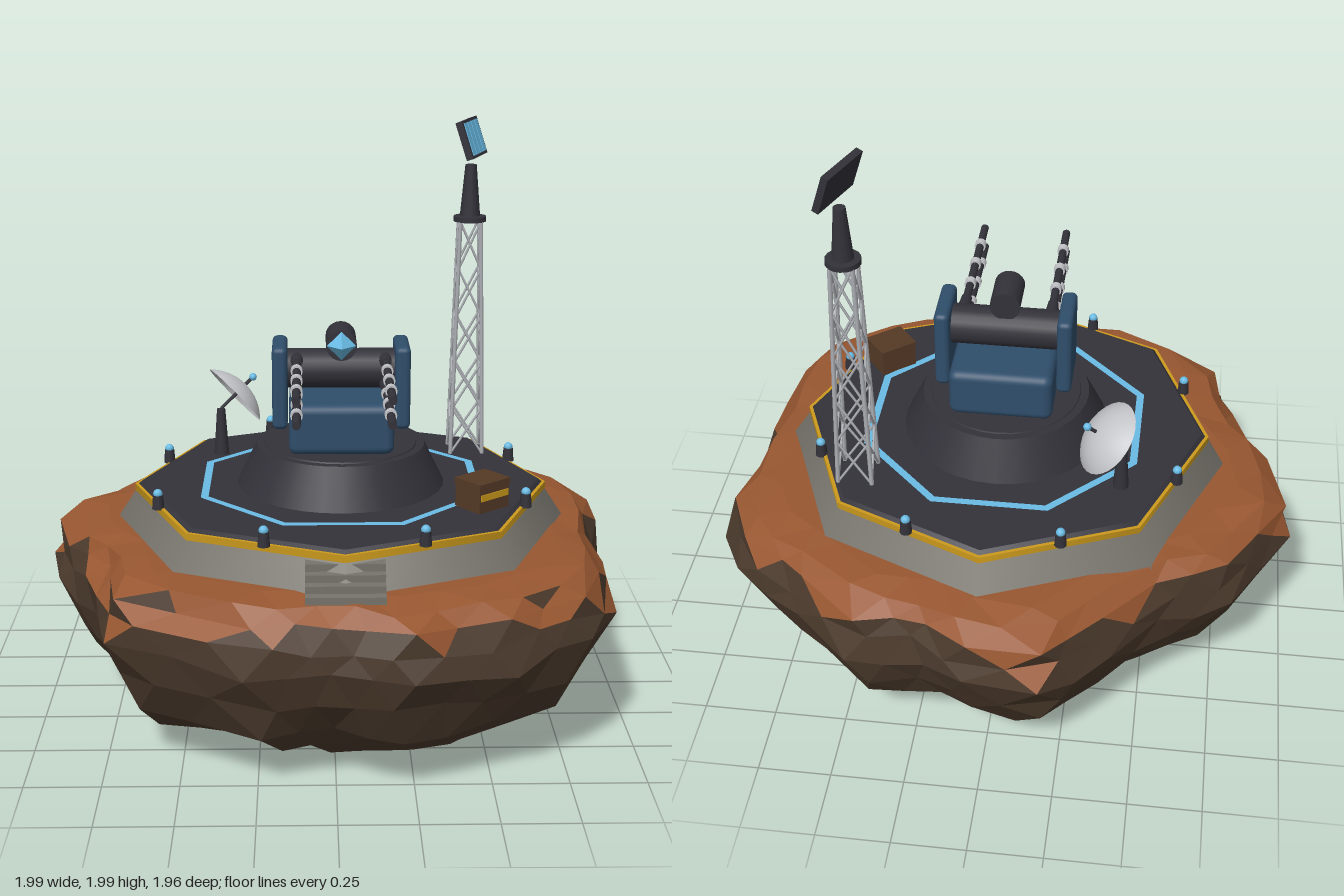
import * as THREE from 'three';
import { RoundedBoxGeometry } from 'three/addons/geometries/RoundedBoxGeometry.js';

const CX = 0.028, CZ = 0.012; // centre of the platform

function mat(name, color, opts = {}) {
  const m = new THREE.MeshStandardMaterial({ color, ...opts });
  m.name = name;
  return m;
}

const M = {
  rock: mat('brownRock', 0x4b3a2c, { flatShading: true }),
  rust: mat('rustSoil', 0x985731, { flatShading: true }),
  concrete: mat('concrete', 0x77746c),
  dark: mat('darkMetal', 0x33323a),
  yellow: mat('hazardYellow', 0xcc9a1c),
  armor: mat('blueArmor', 0x2f4e6b),
  glow: mat('lightBlue', 0x69bbe4),
  white: mat('paleMetal', 0xc4c5c9, { side: THREE.DoubleSide }),
  crate: mat('crateBrown', 0x553a26),
  steel: mat('steel', 0xadb0b5),
};

function add(parent, name, geometry, material, x = 0, y = 0, z = 0) {
  const mesh = new THREE.Mesh(geometry, material);
  mesh.name = name;
  mesh.position.set(x, y, z);
  parent.add(mesh);
  return mesh;
}

function group(parent, name, x = 0, y = 0, z = 0) {
  const g = new THREE.Group();
  g.name = name;
  g.position.set(x, y, z);
  parent.add(g);
  return g;
}

const cyl = (top, bottom, h, n = 20) => new THREE.CylinderGeometry(top, bottom, h, n);
const box = (w, h, d) => new THREE.BoxGeometry(w, h, d);

// Round bar between two points
function bar(parent, name, a, b, r, material) {
  const d = b.clone().sub(a);
  const mesh = add(parent, name, cyl(r, r, d.length(), 6), material);
  mesh.position.copy(a).add(b).multiplyScalar(0.5);
  mesh.quaternion.setFromUnitVectors(new THREE.Vector3(0, 1, 0), d.normalize());
}

// Faceted boulder: a plan outline scaled through a vertical profile
function buildRock() {
  const corners = [[-1, -.13], [-.8, -.47], [-.56, -.59], [-.41, -.765], [-.195, -.985], [.055, -.955],
    [.19, -.88], [.457, -.87], [.645, -.72], [.895, -.535], [.99, -.35], [.94, .08], [.93, .455],
    [.815, .67], [.56, .855], [.235, .97], [-.02, .9], [-.29, .9], [-.735, .67], [-.8, .35], [-.95, .12]];
  // Split the long edges so that the facets are of similar size
  const outline = corners.flatMap(([x, z], i) => {
    const [x2, z2] = corners[(i + 1) % corners.length];
    const mid = [(x + x2) / 2, (z + z2) / 2];
    return Math.hypot(x2 - x, z2 - z) > .26 ? [[x, z], mid] : [[x, z]];
  });
  const profile = [[0, 0], [0, .43], [.04, .62], [.11, .77], [.2, .87], [.32, .95], [.45, 1],
    [.53, .985], [.595, .955], [.643, .905], [.658, .8], [.658, 0]];
  let seed = 11;
  const rnd = () => ((seed = (seed * 16807) % 2147483647) / 2147483647) - 0.5;
  const n = outline.length;
  const rings = profile.map(([y, s], j) => outline.map(([x, z], i) => {
    const wild = j > 1 && j < 10 && j !== 6 ? 1 : 0;
    const [x2, z2] = outline[(i + 1) % n];
    const t = wild * (0.3 * rnd() + (j % 2 ? 0.4 : 0)); // stagger the rows
    const k = s * (1 + wild * 0.04 * rnd());
    const dy = (j === 6 ? 0.07 : wild * (j > 7 ? 0.02 : 0.05)) * rnd();
    return new THREE.Vector3((x + (x2 - x) * t) * k, y + dy, (z + (z2 - z) * t) * k);
  }));
  const low = [], high = [];
  const tri = (a, b, c) => {
    const area = b.clone().sub(a).cross(c.clone().sub(a));
    if (area.length() < 1e-7) return;
    const mid = a.clone().add(b).add(c).divideScalar(3);
    // Ragged lower border of the rust-coloured soil
    const limit = 0.594 + 0.036 * Math.sin(9 * Math.atan2(mid.z, mid.x));
    const list = mid.y > limit || (mid.y > 0.5 && area.normalize().y > 0.55) ? high : low;
    for (const p of [a, b, c]) list.push(p.x, p.y, p.z);
  };
  for (let j = 0; j < rings.length - 1; j++) for (let i = 0; i < n; i++) {
    const k = (i + 1) % n, [a, b, c, d] = [rings[j][i], rings[j + 1][i], rings[j + 1][k], rings[j][k]];
    if (j % 2) { tri(a, b, c); tri(a, c, d); } else { tri(a, b, d); tri(b, c, d); }
  }
  const g = new THREE.BufferGeometry();
  g.setAttribute('position', new THREE.Float32BufferAttribute([...low, ...high], 3));
  g.addGroup(0, low.length / 3, 0);
  g.addGroup(low.length / 3, high.length / 3, 1);
  g.computeVertexNormals();
  return g;
}

function buildPlatform(root) {
  const p = group(root, 'platform', CX, 0, CZ);
  add(p, 'concreteBase', cyl(.71, .785, .115, 8), M.concrete, 0, .6975);
  add(p, 'yellowTrim', cyl(.715, .715, .024, 8), M.yellow, 0, .762);
  add(p, 'deck', cyl(.69, .706, .014, 8), M.dark, 0, .778);
  const ring = add(p, 'blueDeckRing', new THREE.RingGeometry(.487, .515, 8, 1, Math.PI / 8), M.glow, 0, .788);
  ring.rotation.x = -Math.PI / 2;
  // Marker lamps midway along each edge
  for (let i = 0; i < 8; i++) {
    const a = (i + .5) * Math.PI / 4;
    const lamp = group(p, 'markerLamp', .665 * Math.sin(a), 0, .665 * Math.cos(a));
    add(lamp, 'lampPost', cyl(.017, .021, .048, 10), M.dark, 0, .794);
    add(lamp, 'lampBulb', new THREE.SphereGeometry(.016, 10, 8), M.glow, 0, .822);
  }
  // Front steps
  for (let i = 0; i < 4; i++)
    add(p, 'step', box(.25, .024, .16 - i * .032), M.concrete, 0, .66 + i * .024, .725 - i * .016);
}

function buildTurret(root) {
  const t = group(root, 'turret', CX, 0, CZ);
  add(t, 'turretBase', cyl(.29, .36, .145, 32), M.dark, 0, .852);
  add(t, 'turretCap', cyl(.26, .265, .01, 32), M.dark, 0, .924);
  add(t, 'turretBody', new RoundedBoxGeometry(.355, .175, .355, 3, .03), M.armor, 0, 1.012, 0);
  const drum = add(t, 'gunDrum', cyl(.068, .068, .37, 20), M.dark, 0, 1.187, 0);
  drum.rotation.z = Math.PI / 2;
  for (const s of [-1, 1]) {
    add(t, 'sideArmor', new RoundedBoxGeometry(.052, .285, .21, 3, .018), M.armor, s * .208, 1.138, 0);
    for (const y of [1.146, 1.226]) {
      const gun = group(t, 'gunBarrel', s * .15, y, 0);
      gun.rotation.x = Math.PI / 2;
      add(gun, 'barrel', cyl(.014, .014, .56, 12), M.dark, 0, .28);
      add(gun, 'barrelRoot', cyl(.018, .024, .08, 12), M.dark, 0, .06);
      for (const z of [.19, .315, .44]) add(gun, 'barrelCollar', cyl(.02, .02, .026, 12), M.white, 0, z);
    }
  }
  // Sensor on top with a pointed lens
  const sensor = group(t, 'sensor', 0, 1.29, 0);
  sensor.rotation.x = Math.PI / 2;
  add(sensor, 'sensorHousing', cyl(.052, .052, .145, 20), M.dark, 0, .035);
  const cone = new THREE.ConeGeometry(.049, .05, 4).toNonIndexed();
  cone.computeVertexNormals();
  add(sensor, 'sensorLens', cone, M.glow, 0, .133);
}

function buildMast(root) {
  const m = group(root, 'latticeMast', .493, 0, -.34);
  const levels = 5, y0 = .785, y1 = 1.635;
  const corner = (i, l) => {
    const f = l / levels, h = .058 + (.036 - .058) * f;
    const [sx, sz] = [[1, 1], [1, -1], [-1, -1], [-1, 1]][i % 4];
    return new THREE.Vector3(sx * h, y0 + (y1 - y0) * f, sz * h);
  };
  for (let i = 0; i < 4; i++) {
    bar(m, 'mastLeg', corner(i, 0), corner(i, levels), .008, M.steel);
    for (let l = 0; l < levels; l++) {
      bar(m, 'mastBrace', corner(i, l), corner(i + 1, l + 1), .0045, M.steel);
      bar(m, 'mastBrace', corner(i + 1, l), corner(i, l + 1), .0045, M.steel);
    }
  }
  add(m, 'mastPlate', cyl(.058, .058, .018, 16), M.dark, 0, 1.641);
  add(m, 'mastHead', cyl(.02, .036, .18, 12), M.dark, 0, 1.742);
  // Tilted panel with light blue cells
  const panel = group(m, 'panel', 0, 1.924, 0);
  panel.rotation.set(-.33, 1.22, 0, 'YXZ');
  add(panel, 'panelFrame', box(.2, .135, .024), M.dark);
  for (let i = 0; i < 4; i++) add(panel, 'panelCell', box(.038, .116, .004), M.glow, (i - 1.5) * .045, 0, .013);
}

function buildDish(root) {
  const d = group(root, 'dishAntenna');
  add(d, 'dishPost', cyl(.015, .027, .17, 12), M.dark, -.4, .868, -.3);
  const head = group(d, 'dishHead', -.35, 1.0, -.32);
  head.quaternion.setFromUnitVectors(new THREE.Vector3(0, 1, 0), new THREE.Vector3(.705, .65, -.27).normalize());
  add(head, 'dishBowl', new THREE.SphereGeometry(.181, 28, 8, 0, Math.PI * 2, 0, .8), M.white, 0, -.126);
  add(head, 'dishRod', cyl(.006, .006, .155, 8), M.dark, 0, .008);
  add(head, 'dishFeed', new THREE.SphereGeometry(.014, 10, 8), M.glow, 0, .093);
}

function buildCrate(root) {
  const c = group(root, 'crate', .492, .785, .3);
  c.rotation.y = .68;
  add(c, 'crateBody', box(.135, .085, .115), M.crate, 0, .043);
  add(c, 'crateLid', box(.14, .018, .12), M.crate, 0, .092);
  add(c, 'crateStripe', box(.125, .022, .006), M.yellow, 0, .053, .058);
}

export function createModel() {
  const root = new THREE.Group();
  root.name = 'asteroidOutpost';
  add(root, 'rock', buildRock(), [M.rock, M.rust]);
  buildPlatform(root);
  buildTurret(root);
  buildMast(root);
  buildDish(root);
  buildCrate(root);
  return root;
}
